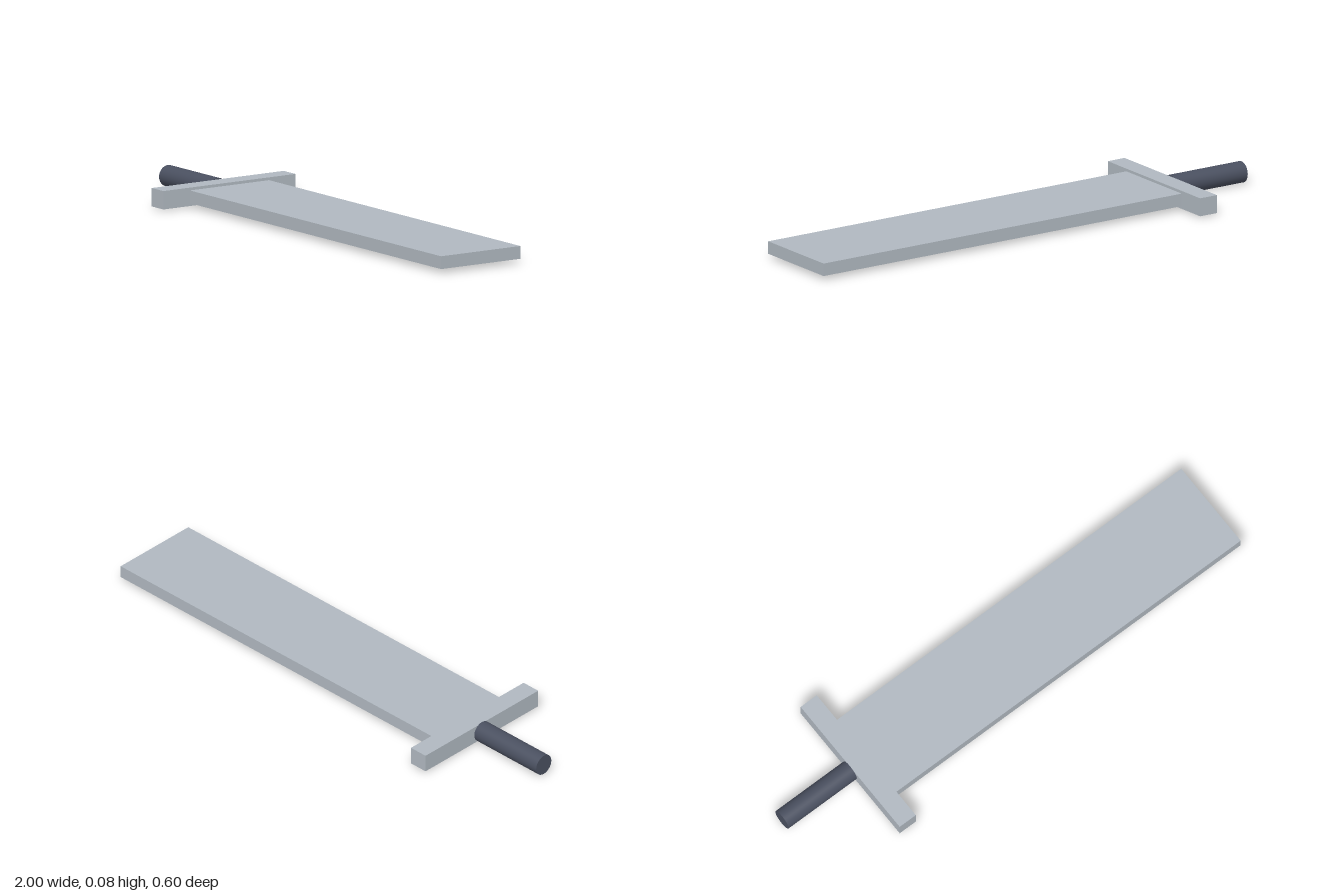
import * as THREE from 'three';

export function createModel() {
  const model = new THREE.Group();
  const midY = 0.04;
  const steel = new THREE.MeshStandardMaterial({ color: 0xb0b8c0 });
  const grip = new THREE.MeshStandardMaterial({ color: 0x4a5060 });

  // Adds a part spanning x0..x1 along the sword's axis
  const add = (name, geometry, material, x0, x1) => {
    const mesh = new THREE.Mesh(geometry, material);
    mesh.name = name;
    mesh.position.set((x0 + x1) / 2, midY, 0);
    model.add(mesh);
  };

  const guardStart = -0.682;
  const guardEnd = -0.607;

  // Flat slab blade
  add('blade', new THREE.BoxGeometry(1 - guardEnd, 0.048, 0.357), steel, guardEnd, 1);

  // Cross guard
  add('guard', new THREE.BoxGeometry(guardEnd - guardStart, 0.069, 0.595), steel, guardStart, guardEnd);

  // Round handle lying along x
  const handle = new THREE.CylinderGeometry(0.04, 0.04, guardStart + 1, 32);
  handle.rotateZ(Math.PI / 2);
  add('handle', handle, grip, -1, guardStart);

  return model;
}
